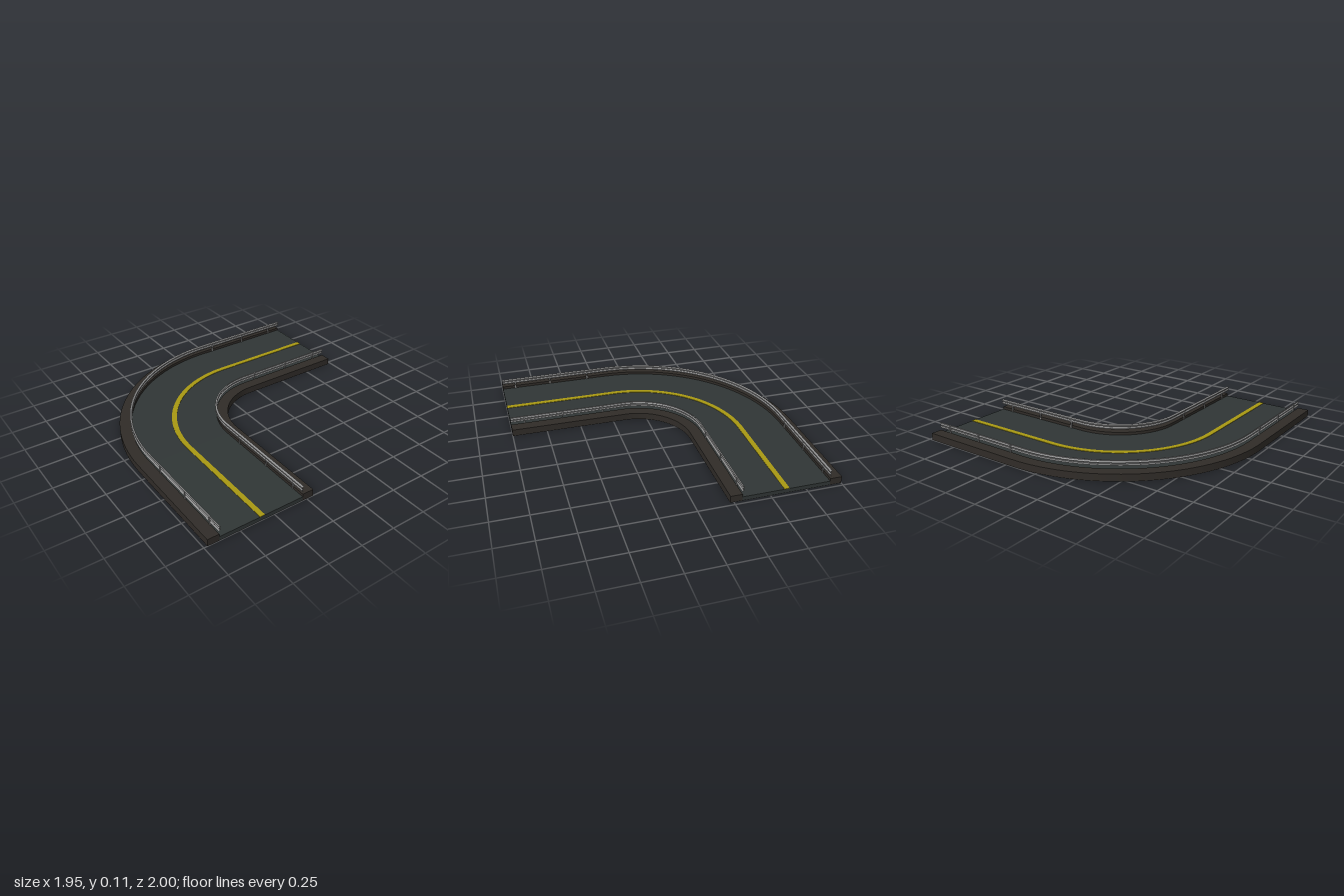
import * as THREE from 'three';

const CX = 0.19, CZ = 0.165;   // centre of the bend
const R = 0.7775;              // radius of the road's centre line
const END_X = 0.975, END_Z = 1;
const SEGMENTS = 32;

// Stations along the road: straight, quarter bend, straight.
// A point at offset d (positive = outside of the bend) is origin + normal * (R + d).
function makeStations() {
  const list = [{ x: CX, z: END_Z, nx: -1, nz: 0 }];
  for (let i = 0; i <= SEGMENTS; i++) {
    const a = (i / SEGMENTS) * Math.PI / 2;
    list.push({ x: CX, z: CZ, nx: -Math.cos(a), nz: -Math.sin(a) });
  }
  list.push({ x: END_X, z: CZ, nx: 0, nz: -1 });
  return list;
}
const stations = makeStations();

const place = (s, [d, y]) => [s.x + s.nx * (R + d), y, s.z + s.nz * (R + d)];

// Sweeps a counter-clockwise (offset, height) profile along the road,
// smooth along its length and sharp across the profile, with capped ends.
function sweep(profile, skipBottom = false) {
  const pos = [], index = [];
  profile.forEach((a, k) => {
    const b = profile[(k + 1) % profile.length];
    if (skipBottom && a[1] === 0 && b[1] === 0) return;
    const base = pos.length / 3;
    stations.forEach((s, i) => {
      pos.push(...place(s, a), ...place(s, b));
      if (i === 0) return;
      const p = base + (i - 1) * 2;
      index.push(p, p + 1, p + 3, p, p + 3, p + 2);
    });
  });
  const faces = THREE.ShapeUtils.triangulateShape(profile.map(p => new THREE.Vector2(...p)), []);
  [stations[0], stations[stations.length - 1]].forEach((s, end) => {
    const base = pos.length / 3;
    profile.forEach(p => pos.push(...place(s, p)));
    faces.forEach(([a, b, c]) => index.push(base + a, base + (end ? b : c), base + (end ? c : b)));
  });
  const geo = new THREE.BufferGeometry();
  geo.setAttribute('position', new THREE.Float32BufferAttribute(pos, 3));
  geo.setIndex(index);
  geo.computeVertexNormals();
  return geo;
}

const rect = (d0, d1, y0, y1) => [[d0, y0], [d1, y0], [d1, y1], [d0, y1]];

export function createModel() {
  const group = new THREE.Group();
  const material = color => new THREE.MeshStandardMaterial({ color });
  const asphalt = material(0x303635);
  const earth = material(0x302c28);
  const yellow = material(0xa89812);
  const steel = material(0x8c8c8c);
  const add = (name, geo, mat, parent = group) => {
    const mesh = new THREE.Mesh(geo, mat);
    mesh.name = name;
    parent.add(mesh);
    return mesh;
  };

  // Road bed, shoulders and centre stripe
  add('underside', sweep(rect(-0.3875, 0.3875, 0, 0.002)), steel);
  add('roadSurface', sweep(rect(-0.306, 0.306, 0.002, 0.03)), asphalt);
  add('outerShoulder', sweep(rect(0.306, 0.3877, 0.001, 0.05)), earth);
  add('innerShoulder', sweep(rect(-0.3877, -0.306, 0.001, 0.05)), earth);
  add('centreStripe', sweep(rect(-0.018, 0.018, 0.029, 0.033)), yellow);

  // Double-ridged guard rails, ridges facing the road
  const ridge = [[0.004, 0.072], [-0.006, 0.077], [-0.006, 0.084], [0.002, 0.091],
    [-0.006, 0.098], [-0.006, 0.105], [0.004, 0.11]];
  const postGeo = new THREE.BoxGeometry(0.009, 0.08, 0.009);
  for (const side of [1, -1]) {
    const rail = new THREE.Group();
    rail.name = side > 0 ? 'outerGuardRail' : 'innerGuardRail';
    group.add(rail);

    const front = ridge.map(([d, y]) => [side * (0.303 + d), y]);
    const back = ridge.map(([d, y]) => [side * (0.307 + d), y]).reverse();
    const profile = [...front, ...back];
    if (side > 0) profile.reverse();
    if (THREE.ShapeUtils.area(profile.map(p => new THREE.Vector2(...p))) < 0) profile.reverse();
    add('railBeam', sweep(profile), steel, rail);

    // Posts stand along both straights
    const r = R + side * 0.306;
    for (const z of [0.315, 0.62, 0.9]) add('post', postGeo, steel, rail).position.set(CX - r, 0.065, z);
    for (const x of [0.285, 0.585, 0.87]) add('post', postGeo, steel, rail).position.set(x, 0.065, CZ - r);
  }
  return group;
}
